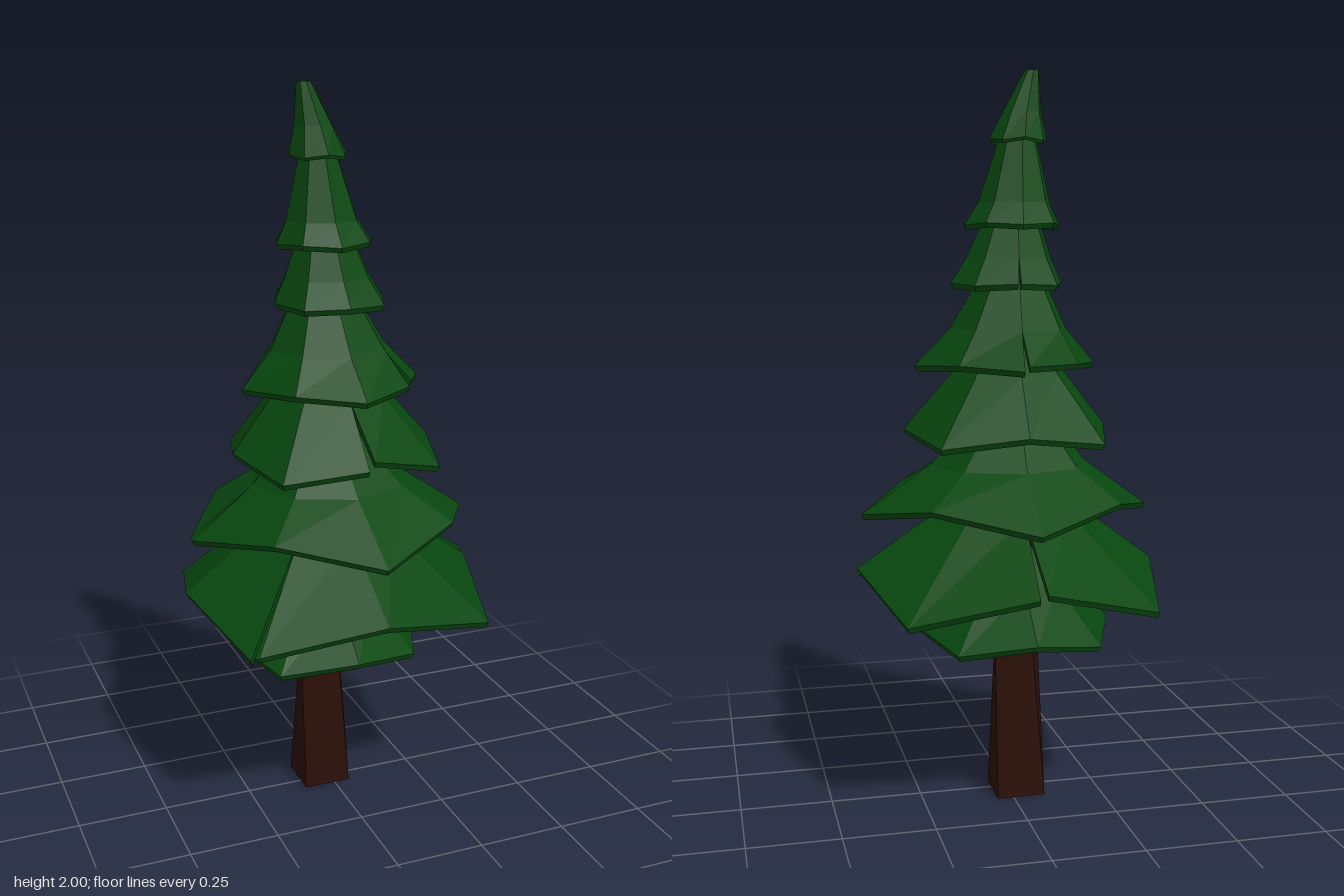
import * as THREE from 'three';

const SIDES = 8;

// Flat-shaded mesh from a list of quads, each given as four corners
function quadMesh(name, quads, material) {
  const pos = [];
  for (const [a, b, c, d] of quads) for (const p of [a, b, c, a, c, d]) pos.push(...p);
  const geo = new THREE.BufferGeometry();
  geo.setAttribute('position', new THREE.Float32BufferAttribute(pos, 3));
  geo.computeVertexNormals();
  const mesh = new THREE.Mesh(geo, material);
  mesh.name = name;
  return mesh;
}

// One drooping skirt of branches: a thin eight-sided shell with slits at some corners
function branchTier(name, t, material) {
  const { rim, diag, mid, top, cx = 0, cz = 0, topX = -0.02, seams = [], lift = 0 } = t;
  const midX = cx * 0.7 + topX * 0.3;

  // Closed cross-section at corner k; side is +1 or -1 on either side of a slit
  const section = (k, side) => {
    const corner = k % SIDES;
    const [r, y] = corner % 2 ? diag : rim;
    const slit = seams.includes(corner);
    const angle = (corner * Math.PI * 2) / SIDES;
    const at = (radius, height, x, z, spread) => {
      const a = angle + (slit ? side * spread : 0);
      return [x + Math.cos(a) * radius, height, z + Math.sin(a) * radius];
    };
    const rimY = y + (slit && side < 0 ? lift : 0);
    const thick = Math.min(0.015, r * 0.1);
    return [
      at(top[0], top[1], topX, 0, 0),
      at(mid[0], mid[1], midX, cz / 2, 0),
      at(r, rimY, cx, cz, 0.025),
      at(r - thick * 0.5, rimY - thick, cx, cz, 0.025),
      at(mid[0] - thick * 0.6, mid[1] - thick, midX, cz / 2, 0),
      at(top[0] * 0.8, top[1] - thick, topX, 0, 0),
    ];
  };

  const quads = [];
  for (let k = 0; k < SIDES; k++) {
    const a = section(k, 1), b = section(k + 1, -1);
    for (let j = 0; j < a.length; j++) {
      const n = (j + 1) % a.length;
      quads.push([a[j], b[j], b[n], a[n]]);
    }
    // Close the shell thickness beside a slit
    if (seams.includes(k)) {
      for (const s of [a, section(k, -1)]) quads.push([s[1], s[2], s[3], s[4]]);
    }
  }
  return quadMesh(name, quads, material);
}

// Tapered square trunk that twists as it rises
function trunk(material) {
  const ring = (y, half, twist) => [0, 1, 2, 3].map((i) => {
    const a = Math.PI / 4 + (i * Math.PI) / 2 + twist;
    const r = half * Math.SQRT2;
    return [-0.022 + Math.cos(a) * r, y, -0.022 + Math.sin(a) * r];
  });
  const rings = [ring(0, 0.067, 0), ring(0.48, 0.051, 0.4), ring(1.0, 0.036, 0.55), ring(1.5, 0.015, 0.7)];
  const quads = [rings[0], [...rings[3]].reverse()];
  for (let j = 0; j < rings.length - 1; j++) {
    for (let i = 0; i < 4; i++) {
      const n = (i + 1) % 4;
      quads.push([rings[j + 1][i], rings[j + 1][n], rings[j][n], rings[j][i]]);
    }
  }
  return quadMesh('trunk', quads, material);
}

export function createModel() {
  const green = new THREE.MeshStandardMaterial({ color: 0x08470f, flatShading: true, side: THREE.DoubleSide });
  const brown = new THREE.MeshStandardMaterial({ color: 0x2c1008, flatShading: true });

  // [radius, height] of the straight corners, diagonal corners, bend and top
  const tiers = [
    { rim: [0.275, 0.487], diag: [0.28, 0.452], mid: [0.14, 0.61], top: [0.05, 0.74], cx: -0.02 },
    { rim: [0.422, 0.652], diag: [0.475, 0.578], mid: [0.19, 0.82], top: [0.05, 0.95], seams: [0, 3, 6], lift: 0.012 },
    { rim: [0.405, 0.808], diag: [0.36, 0.855], mid: [0.22, 0.94], top: [0.05, 1.13], cz: 0.01, seams: [4] },
    { rim: [0.285, 1.04], diag: [0.315, 1.01], mid: [0.16, 1.19], top: [0.045, 1.31], cz: 0.02, seams: [2], lift: 0.025 },
    { rim: [0.255, 1.212], diag: [0.23, 1.222], mid: [0.165, 1.31], top: [0.045, 1.53], cz: 0.015, seams: [1, 6], lift: 0.012 },
    { rim: [0.155, 1.435], diag: [0.16, 1.43], mid: [0.12, 1.5], top: [0.04, 1.7], seams: [6] },
    { rim: [0.133, 1.59], diag: [0.132, 1.595], mid: [0.1, 1.65], top: [0.035, 1.88], cx: -0.015, topX: -0.035, seams: [0] },
    { rim: [0.08, 1.82], diag: [0.08, 1.812], mid: [0.053, 1.89], top: [0.02, 2.0], cx: -0.032, topX: -0.07 },
  ];

  const tree = new THREE.Group();
  tree.name = 'pineTree';
  tree.add(trunk(brown));
  tiers.forEach((t, i) => tree.add(branchTier(`branchTier${i + 1}`, t, green)));

  // Flat ring around the small hole at the tip
  const tip = new THREE.Mesh(new THREE.RingGeometry(0.008, 0.019, SIDES), green);
  tip.name = 'treeTip';
  tip.rotation.x = -Math.PI / 2;
  tip.position.set(-0.07, 1.998, 0);
  tree.add(tip);
  return tree;
}
